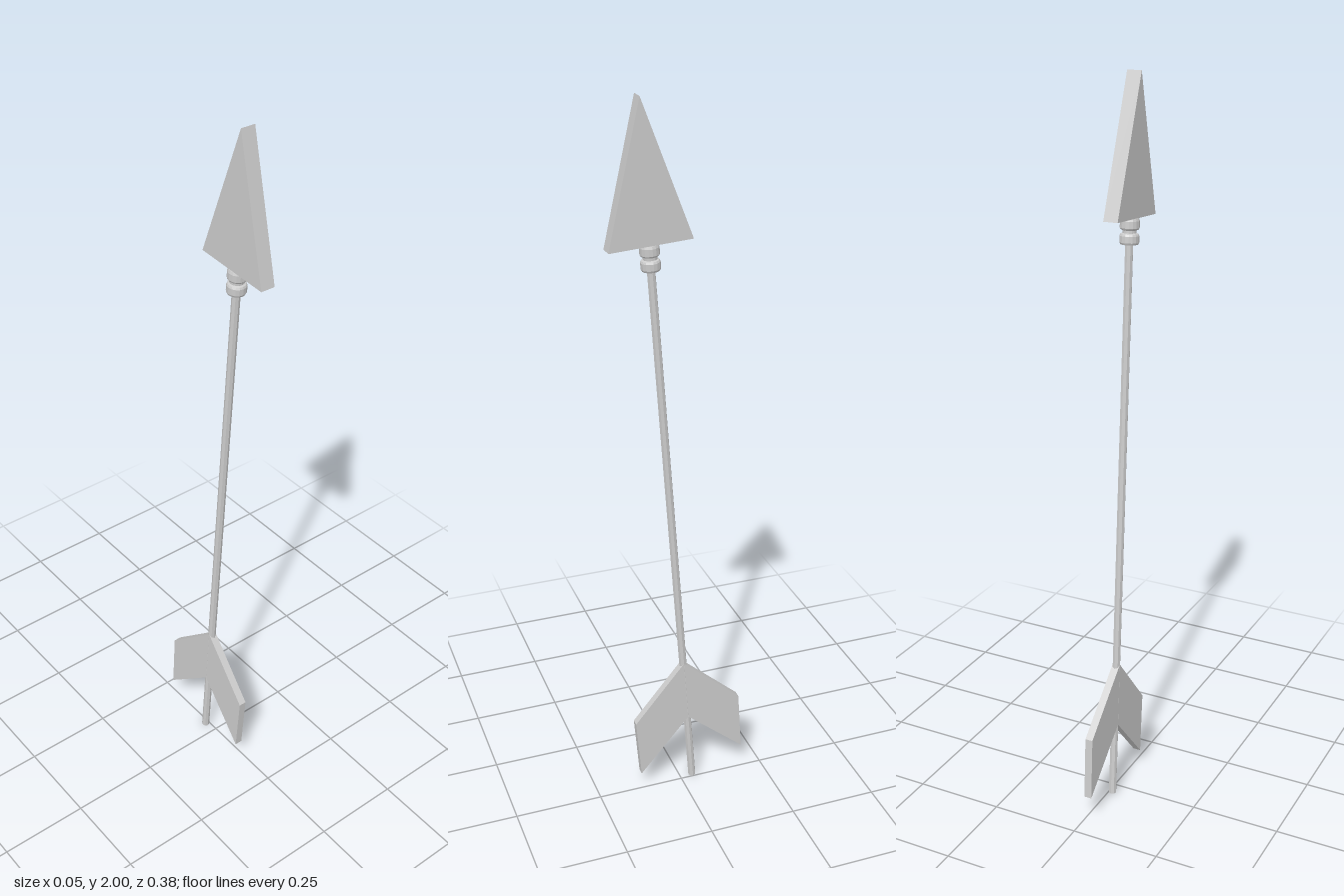
import * as THREE from 'three';

const material = new THREE.MeshStandardMaterial({ color: 0xcccccc, flatShading: true });

// Flat plate in the local z-y plane, centred on x = 0; half is mirrored across the shaft
function plate(name, half, thickness) {
  const mirrored = half.filter(([z]) => z > 0).reverse().map(([z, y]) => [-z, y]);
  const shape = new THREE.Shape([...half, ...mirrored].map(([z, y]) => new THREE.Vector2(z, y)));
  const geometry = new THREE.ExtrudeGeometry(shape, { depth: thickness, bevelEnabled: false });
  geometry.translate(0, 0, -thickness / 2).rotateY(-Math.PI / 2);
  const mesh = new THREE.Mesh(geometry, material);
  mesh.name = name;
  return mesh;
}

function rod(name, radius, bottom, top, sides) {
  const geometry = new THREE.CylinderGeometry(radius, radius, top - bottom, sides);
  geometry.translate(0, (top + bottom) / 2, 0);
  const mesh = new THREE.Mesh(geometry, material);
  mesh.name = name;
  return mesh;
}

export function createModel() {
  const arrow = new THREE.Group();
  arrow.name = 'arrow';

  // Shaft
  arrow.add(rod('shaft', 0.011, 0, 1.65, 8));

  // Collar: two rings joined by a narrower neck
  const collar = new THREE.Group();
  collar.name = 'collar';
  const profile = [
    [0, 1.578], [0.023, 1.578], [0.0255, 1.583], [0.0255, 1.6], [0.023, 1.605],
    [0.018, 1.607], [0.018, 1.614],
    [0.023, 1.616], [0.0255, 1.62], [0.0255, 1.638], [0.023, 1.645], [0, 1.645],
  ].map(([r, y]) => new THREE.Vector2(r, y));
  const rings = new THREE.Mesh(new THREE.LatheGeometry(profile, 16), material);
  rings.name = 'collarRings';
  collar.add(rings);
  arrow.add(collar);

  // Triangular head
  arrow.add(plate('arrowHead', [[0, 1.645], [0.11, 1.645], [0, 2.006]], 0.04));

  // Swept-back pair of fletching vanes
  arrow.add(plate('fletching', [[0, 0.218], [0.156, 0.062], [0.158, 0.241], [0, 0.405]], 0.0215));

  // Slight lean forward and to the side
  arrow.rotation.set(0.074, 0, -0.0065);
  arrow.position.set(-0.011, 0.001, -0.037);

  const model = new THREE.Group();
  model.add(arrow);
  return model;
}
